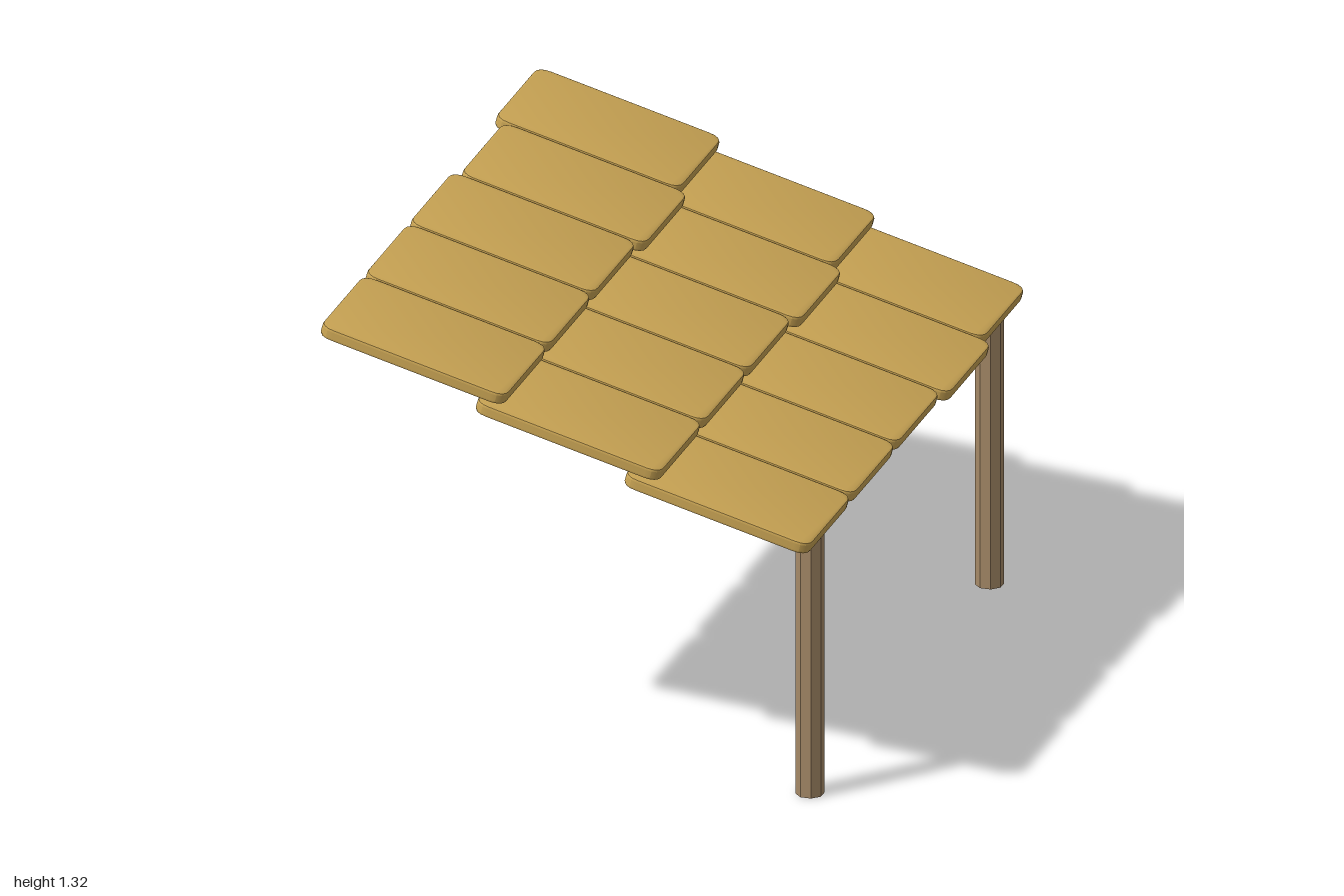
import * as THREE from 'three';
import { toCreasedNormals } from 'three/addons/utils/BufferGeometryUtils.js';

const LENGTH = 0.565, WIDTH = 0.395, THICK = 0.036, BEVEL = 0.008;
const TILT = THREE.MathUtils.degToRad(15);

// Flat board with rounded corners, lying in the xz plane
function shingleGeometry() {
  const a = LENGTH / 2 - BEVEL, b = WIDTH / 2 - BEVEL, r = 0.035;
  const s = new THREE.Shape();
  s.moveTo(-a + r, -b);
  s.lineTo(a - r, -b);
  s.quadraticCurveTo(a, -b, a, -b + r);
  s.lineTo(a, b - r);
  s.quadraticCurveTo(a, b, a - r, b);
  s.lineTo(-a + r, b);
  s.quadraticCurveTo(-a, b, -a, b - r);
  s.lineTo(-a, -b + r);
  s.quadraticCurveTo(-a, -b, -a + r, -b);
  const g = new THREE.ExtrudeGeometry(s, {
    depth: THICK - 2 * BEVEL, bevelEnabled: true, bevelSize: BEVEL,
    bevelThickness: BEVEL, bevelSegments: 2, curveSegments: 4,
  });
  g.center();
  g.rotateX(-Math.PI / 2);
  return toCreasedNormals(g, 0.5);
}

export function createModel() {
  const model = new THREE.Group();
  model.name = 'awning';
  const straw = new THREE.MeshStandardMaterial({ color: 0xc9a454 });
  straw.name = 'golden wood';
  const wood = new THREE.MeshStandardMaterial({ color: 0xa58967, flatShading: true });
  wood.name = 'brown wood';

  // Three overlapping courses of five shingles; columns slide a little along the slope
  const roof = new THREE.Group();
  roof.name = 'roof';
  const shingle = shingleGeometry();
  const slide = [-0.01, 0.02, 0, 0, 0];
  const courses = [[-0.456, 1.228], [0, 1.056], [0.438, 0.89]];
  courses.forEach(([x, y], row) => {
    slide.forEach((dx, col) => {
      const m = new THREE.Mesh(shingle, straw);
      m.name = `shingle${row + 1}_${col + 1}`;
      m.position.set(x + dx, y - dx * Math.tan(TILT), -0.8 + col * 0.4);
      m.rotation.z = -TILT;
      roof.add(m);
    });
  });
  model.add(roof);

  // Two octagonal posts under the low edge
  const postHeight = 0.825;
  const post = new THREE.CylinderGeometry(0.0405, 0.0405, postHeight, 8);
  post.rotateY(Math.PI / 8);
  post.translate(0, postHeight / 2, 0);
  for (const [name, z] of [['frontPost', 0.795], ['backPost', -0.82]]) {
    const m = new THREE.Mesh(post, wood);
    m.name = name;
    m.position.set(0.652, 0, z);
    model.add(m);
  }
  return model;
}
